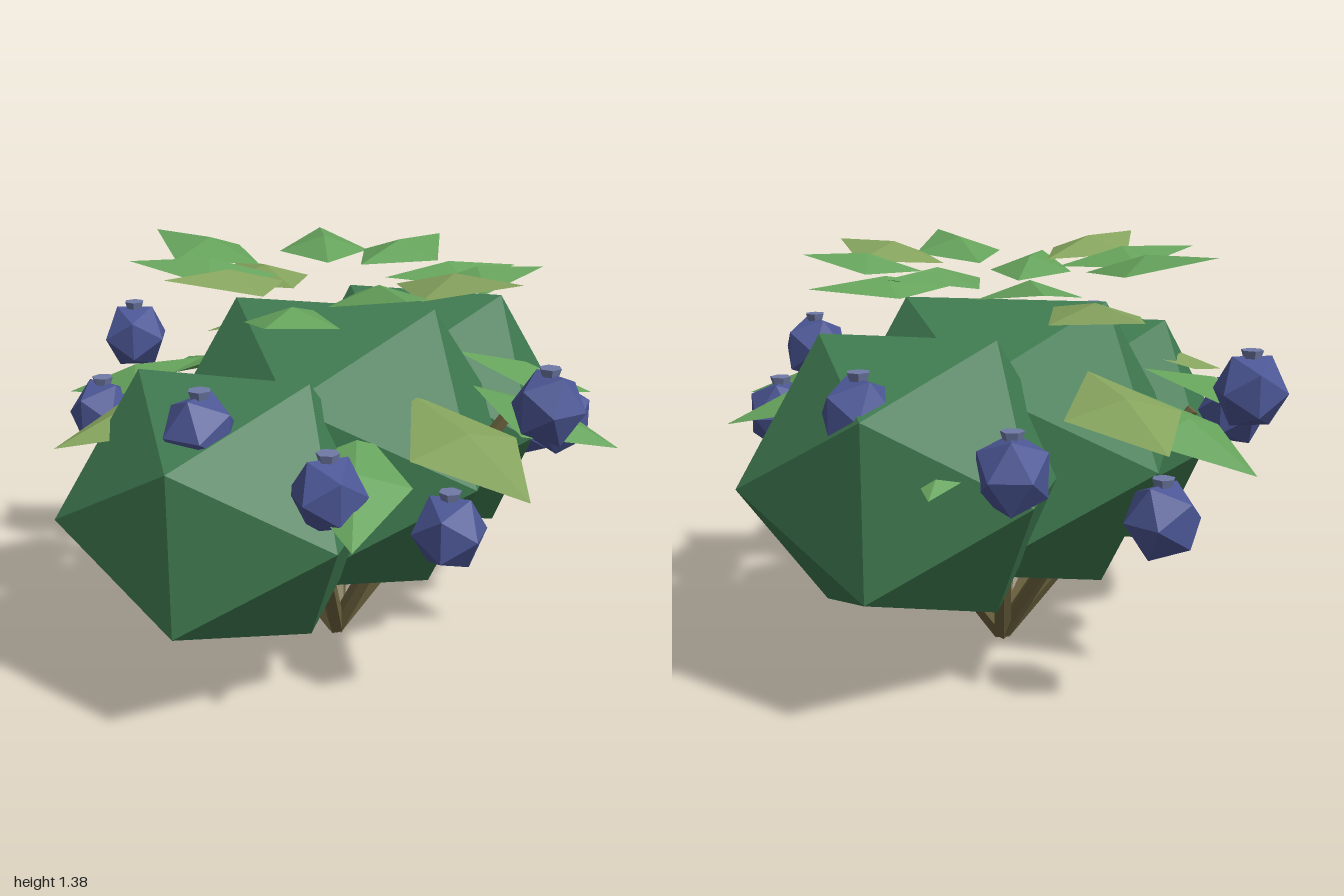
import * as THREE from 'three';

const mat = (color, side = THREE.FrontSide) =>
  new THREE.MeshStandardMaterial({ color, flatShading: true, roughness: 0.9, side });

const foliageMat = mat(0x3f7a50);
const stemMat = mat(0x6e6540);
const berryMat = mat(0x4c5796);
const crownMat = mat(0x6f7aa6);
const leafMat = mat(0x66a35c, THREE.DoubleSide);
const oliveLeafMat = mat(0x86a45e, THREE.DoubleSide);

function add(parent, name, geometry, material) {
  const mesh = new THREE.Mesh(geometry, material);
  mesh.name = name;
  parent.add(mesh);
  return mesh;
}

// Diamond leaf from base to tip, with a raised midrib point and lower side corners
function leafGeometry(base, tip, halfWidth) {
  const along = tip.clone().sub(base);
  const side = new THREE.Vector3(0, 1, 0).cross(along).normalize();
  const up = along.clone().cross(side).normalize();
  const mid = base.clone().addScaledVector(along, 0.48);
  const left = mid.clone().addScaledVector(side, halfWidth).addScaledVector(up, -0.02);
  const right = mid.clone().addScaledVector(side, -halfWidth).addScaledVector(up, -0.02);
  mid.addScaledVector(up, 0.035);
  const corners = [base, right, tip, left];
  const points = [];
  corners.forEach((p, i) => points.push(p, corners[(i + 1) % 4], mid));
  const geometry = new THREE.BufferGeometry().setFromPoints(points);
  geometry.computeVertexNormals();
  return geometry;
}

export function createModel() {
  const bush = new THREE.Group();
  bush.name = 'berryBush';

  // Foliage masses: x, y, z, horizontal radius, vertical radius, turn
  [
    ['centreFoliage', 0, 0.715, -0.013, 0.643, 0.567, -0.974],
    ['rightFoliage', -0.529, 0.655, 0.078, 0.53, 0.488, -1.016],
    ['leftFoliage', 0.525, 0.715, -0.116, 0.532, 0.505, -1.016],
  ].forEach(([name, x, y, z, r, ry, turn]) => {
    const blob = add(bush, name, new THREE.IcosahedronGeometry(1, 0), foliageMat);
    blob.position.set(x, y, z);
    blob.scale.set(r, ry, r);
    blob.rotation.y = turn;
  });

  // Stems fanning out from the ground
  const stems = new THREE.Group();
  stems.name = 'stems';
  bush.add(stems);
  [
    [0.42, 0.86, 0.44], [0.05, 0.85, 0.48], [-0.42, 0.72, 0.36], [-0.5, 0.66, 0.02],
    [-0.4, 0.82, -0.5], [0.02, 0.72, -0.52], [0.42, 0.7, -0.42], [0.52, 0.66, 0.05],
  ].forEach(([x, y, z]) => {
    const end = new THREE.Vector3(x, y, z);
    const length = end.length();
    const stem = add(stems, 'stem', new THREE.CylinderGeometry(0.022, 0.032, length, 5), stemMat);
    stem.position.copy(end).multiplyScalar(0.5);
    stem.position.y += 0.016;
    stem.quaternion.setFromUnitVectors(new THREE.Vector3(0, 1, 0), end.normalize());
  });

  // Leaves: base x, y, z, tip x, y, z, half width, olive tint
  const addLeaves = (name, rows) => {
    const group = new THREE.Group();
    group.name = name;
    bush.add(group);
    rows.forEach(([bx, by, bz, tx, ty, tz, w, olive]) => add(group, 'leaf',
      leafGeometry(new THREE.Vector3(bx, by, bz), new THREE.Vector3(tx, ty, tz), w),
      olive ? oliveLeafMat : leafMat));
  };
  addLeaves('topLeaves', [
    [-0.1, 1.3, -0.28, -0.21, 1.37, -0.72, 0.17, 0],
    [0.03, 1.2, -0.26, 0.15, 1.21, -0.73, 0.17, 1],
    [0.18, 1.27, -0.25, 0.46, 1.31, -0.62, 0.16, 0],
    [0.18, 1.29, -0.08, 0.64, 1.33, -0.16, 0.16, 0],
    [0.2, 1.26, 0.02, 0.65, 1.27, 0.2, 0.14, 0],
    [0.13, 1.28, 0.25, 0.44, 1.34, 0.5, 0.16, 0],
    [0.04, 1.3, 0.24, 0.12, 1.36, 0.7, 0.18, 1],
    [-0.11, 1.29, 0.22, -0.31, 1.37, 0.65, 0.16, 0],
    [-0.2, 1.23, 0.12, -0.6, 1.29, 0.38, 0.15, 0],
    [-0.23, 1.31, 0.01, -0.69, 1.38, 0.02, 0.17, 1],
    [-0.16, 1.3, -0.1, -0.56, 1.36, -0.36, 0.16, 0],
  ]);
  addLeaves('lowerLeaves', [
    [-0.1, 0.95, -0.45, -0.1, 0.75, -0.97, 0.18, 0],
    [0.1, 1.03, -0.47, 0.33, 0.89, -0.97, 0.19, 1],
    [-0.26, 0.98, -0.4, -0.6, 0.85, -0.72, 0.17, 0],
    [-0.45, 1.0, -0.1, -0.96, 0.86, -0.21, 0.17, 1],
    [0.42, 0.95, -0.28, 0.81, 0.77, -0.52, 0.16, 0],
    [0.4, 1.0, 0.17, 0.81, 0.83, 0.44, 0.18, 0],
    [0.24, 0.96, 0.4, 0.43, 0.82, 0.85, 0.18, 0],
    [-0.02, 0.98, 0.38, -0.11, 0.81, 0.96, 0.2, 1],
    [-0.22, 0.92, 0.35, -0.575, 0.71, 0.72, 0.17, 0],
  ]);

  // Ring of twelve berries, climbing in steps of three heights
  const berries = new THREE.Group();
  berries.name = 'berries';
  bush.add(berries);
  [0.79, 0.745, 0.765, 0.715, 0.73, 0.745, 0.79, 0.79, 0.866, 0.875, 0.817, 0.86]
    .forEach((radius, i) => {
      const angle = 0.23 + (i * Math.PI) / 6;
      const berry = new THREE.Group();
      berry.name = 'berry';
      berry.position.set(
        radius * Math.cos(angle), 0.655 + 0.157 * (i % 3), radius * Math.sin(angle));
      berry.rotation.y = i * 0.7;
      const body = add(berry, 'berryBody', new THREE.IcosahedronGeometry(0.12, 0), berryMat);
      body.scale.y = 1.06;
      const crown = add(berry, 'berryCrown',
        new THREE.CylinderGeometry(0.036, 0.028, 0.025, 6), crownMat);
      crown.position.y = 0.115;
      berries.add(berry);
    });

  return bush;
}
